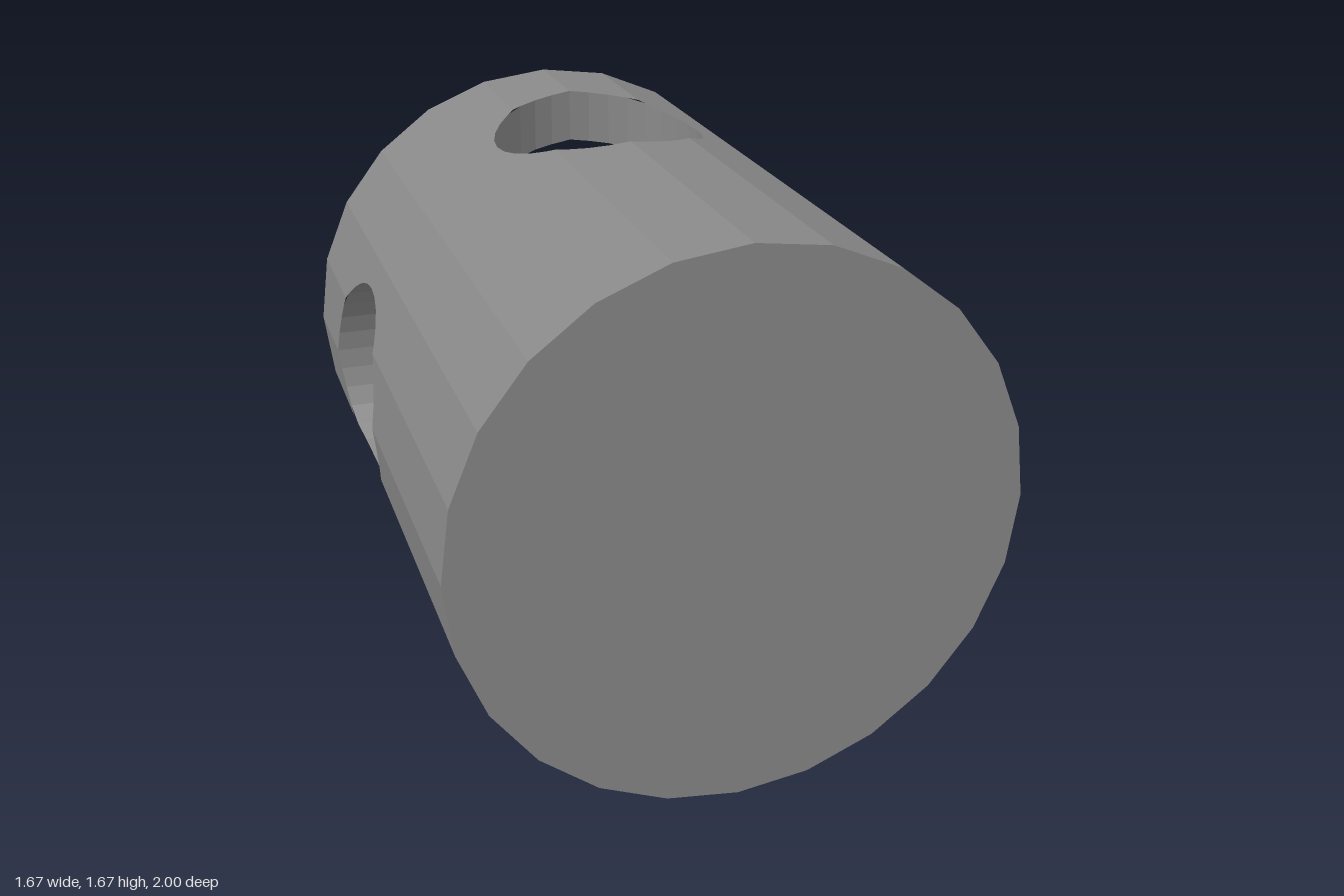
import * as THREE from 'three';

const R_OUT = 5 / 6, R_IN = 4 / 6;          // sleeve radii
const HOLE_R = 1 / 3, HOLE_Z = -1 / 3;      // cross holes
const HOLE_STEPS = 32, STEP = Math.PI / 12; // 24-sided sleeve

const material = new THREE.MeshStandardMaterial({ color: 0x888888, flatShading: true });

// Point on the top of the 24-sided sleeve at a given x
function onSleeve(R, x, z) {
  const mid = (Math.floor(Math.asin(x / R) / STEP) + 0.5) * STEP;
  return [x, (R * Math.cos(STEP / 2) - x * Math.sin(mid)) / Math.cos(mid), z];
}

function quad(out, a, b, c, d) {
  out.push(...a, ...b, ...c, ...a, ...c, ...d);
}

function toGeometry(positions) {
  const g = new THREE.BufferGeometry();
  g.setAttribute('position', new THREE.Float32BufferAttribute(positions, 3));
  g.computeVertexNormals();
  return g;
}

// Top quarter of a wall, built as columns that stop at the hole edge
function wallGeometry(R, zBack, zFront, inward) {
  const xs = [];
  for (let i = -3; i <= 3; i++) xs.push(R * Math.sin(i * STEP));
  for (let i = 0; i <= HOLE_STEPS / 2; i++) xs.push(HOLE_R * Math.cos(i * 2 * Math.PI / HOLE_STEPS));
  xs.sort((a, b) => a - b);

  const columns = xs.filter((x, i) => i === 0 || x - xs[i - 1] > 1e-5).map((x) => {
    const h = Math.sqrt(Math.max(0, HOLE_R * HOLE_R - x * x));
    return [zBack, HOLE_Z - h, HOLE_Z + h, zFront].map((z) => onSleeve(R, x, z));
  });

  const out = [];
  for (let i = 0; i < columns.length - 1; i++) {
    const m = columns[i], n = columns[i + 1];
    for (const k of [0, 2]) {
      if (inward) quad(out, m[k], n[k], n[k + 1], m[k + 1]);
      else quad(out, m[k], m[k + 1], n[k + 1], n[k]);
    }
  }
  return toGeometry(out);
}

// Lining of the top hole through the wall thickness
function liningGeometry() {
  const out = [];
  const edge = (R, i) => {
    const t = i * 2 * Math.PI / HOLE_STEPS;
    return onSleeve(R, HOLE_R * Math.cos(t), HOLE_Z + HOLE_R * Math.sin(t));
  };
  for (let i = 0; i < HOLE_STEPS; i++) {
    quad(out, edge(R_OUT, i), edge(R_IN, i), edge(R_IN, i + 1), edge(R_OUT, i + 1));
  }
  return toGeometry(out);
}

export function createModel() {
  const model = new THREE.Group();
  model.name = 'drilledSleeve';
  const add = (name, geometry) => {
    const mesh = new THREE.Mesh(geometry, material);
    mesh.name = name;
    mesh.position.y = R_OUT;
    model.add(mesh);
    return mesh;
  };

  // Four equal quarters, each with one hole
  const quarter = {
    outerWall: wallGeometry(R_OUT, -1, 1, false),
    innerWall: wallGeometry(R_IN, -1, 2 / 3, true),
    holeLining: liningGeometry(),
  };
  for (let q = 0; q < 4; q++) {
    for (const [name, geometry] of Object.entries(quarter)) {
      add(name + (q + 1), geometry).rotation.z = q * Math.PI / 2;
    }
  }

  // Closed front, cavity floor and open back rim
  add('frontFace', new THREE.CircleGeometry(R_OUT, 24)).position.z = 1;
  const floor = add('cavityFloor', new THREE.CircleGeometry(R_IN, 24));
  floor.position.z = 2 / 3;
  floor.rotation.y = Math.PI;
  const rim = add('backRim', new THREE.RingGeometry(R_IN, R_OUT, 24));
  rim.position.z = -1;
  rim.rotation.y = Math.PI;

  return model;
}
